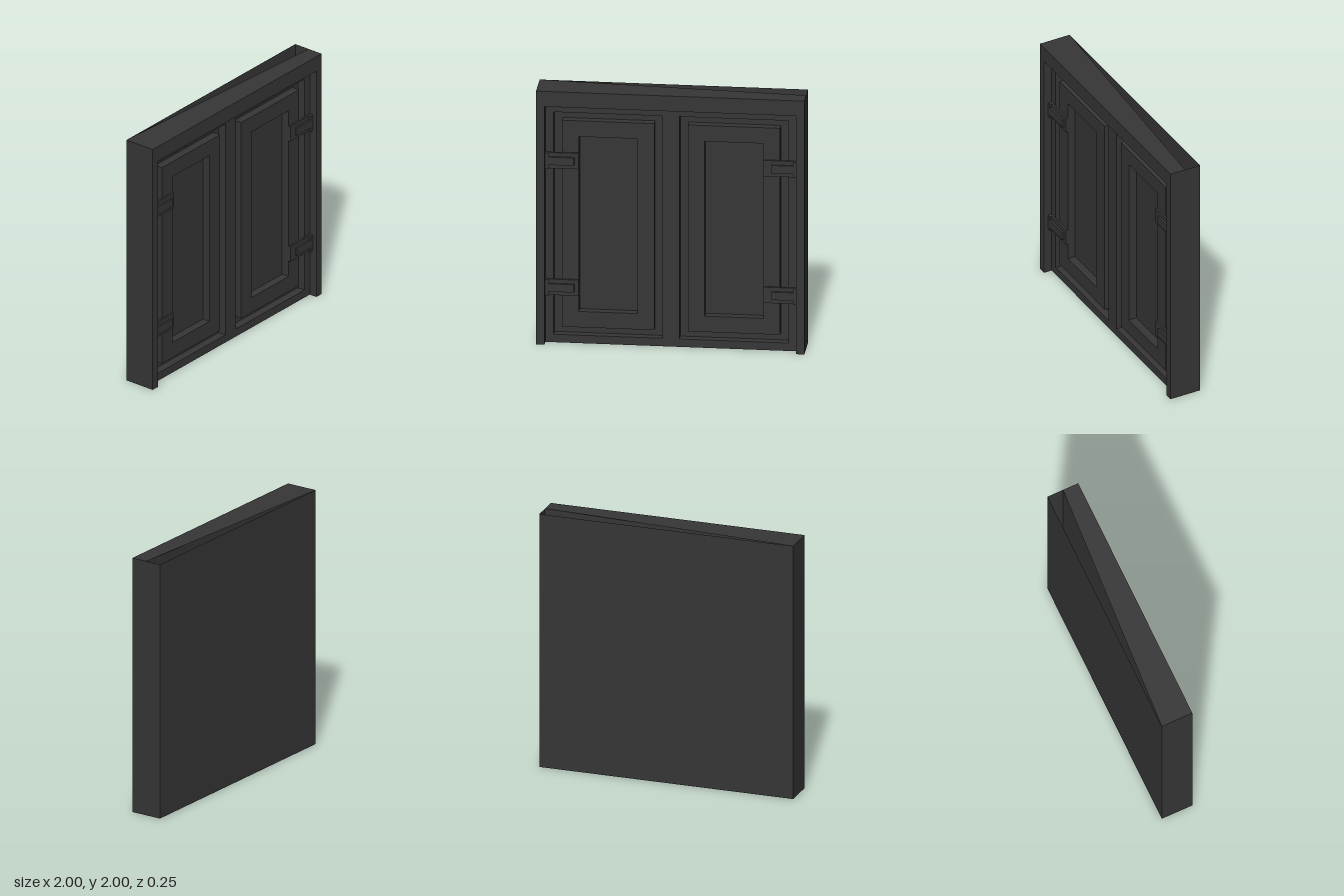
import * as THREE from 'three';

const charcoal = new THREE.MeshStandardMaterial({ color: 0x363636, side: THREE.DoubleSide });
charcoal.name = 'charcoal';

// Depth levels, from the back to the hinge faces
const BACK = -0.125, FLOOR = 0, PANEL = 0.0625, PLATE = 0.078, KNUCKLE = 0.094, FRONT = 0.125;

function add(parent, name, geometry) {
  const mesh = new THREE.Mesh(geometry, charcoal);
  mesh.name = name;
  parent.add(mesh);
  return mesh;
}

// Rectangle outline between two corners
function rect(Type, x0, y0, x1, y1) {
  return new Type([[x0, y0], [x1, y0], [x1, y1], [x0, y1]].map(p => new THREE.Vector2(...p)));
}

// Flat board with rectangular holes, from depth z0 to z1
function board(parent, name, shape, z0, z1, holes = []) {
  for (const h of holes) shape.holes.push(rect(THREE.Path, ...h));
  const g = new THREE.ExtrudeGeometry(shape, { depth: z1 - z0, bevelEnabled: false });
  return add(parent, name, g.translate(0, 0, z0));
}

// Solid block between two corners
function block(parent, name, x0, x1, y0, y1, z0, z1) {
  const g = new THREE.BoxGeometry(x1 - x0, y1 - y0, z1 - z0);
  return add(parent, name, g.translate((x0 + x1) / 2, (y0 + y1) / 2, (z0 + z1) / 2));
}

export function createModel() {
  const model = new THREE.Group();
  model.name = 'cabinetFront';

  // Hollow back casing, with a wedge left open at the top
  const casing = new THREE.Group();
  casing.name = 'backCasing';
  model.add(casing);
  const depth = FLOOR - BACK, mid = (FLOOR + BACK) / 2;
  add(casing, 'backWall', new THREE.PlaneGeometry(2, 2).rotateY(Math.PI).translate(0, 1, BACK));
  add(casing, 'innerWall', new THREE.PlaneGeometry(2, 2).translate(0, 1, FLOOR));
  add(casing, 'bottomWall', new THREE.PlaneGeometry(2, depth).rotateX(Math.PI / 2).translate(0, 0, mid));
  for (const s of [-1, 1]) {
    add(casing, s > 0 ? 'leftWall' : 'rightWall',
      new THREE.PlaneGeometry(depth, 2).rotateY(s * Math.PI / 2).translate(s, 1, mid));
  }
  const wedge = new THREE.Shape([[-1, 0], [1, 0], [-1, -BACK]].map(p => new THREE.Vector2(...p)));
  add(casing, 'topWall', new THREE.ShapeGeometry(wedge).rotateX(-Math.PI / 2).translate(0, 2, 0));

  // Main panel with one opening per door
  const openings = [[-0.875, 0.0625, -0.0625, 1.8175], [0.0625, 0.0625, 0.875, 1.8175]];
  board(model, 'mainPanel', rect(THREE.Shape, -1, 0, 1, 2), FLOOR, PANEL, openings);

  // Raised door frames around a sunken field
  for (const s of [-1, 1]) {
    const span = (a, b, y0, y1) => [Math.min(s * a, s * b), y0, Math.max(s * a, s * b), y1];
    board(model, s > 0 ? 'leftDoor' : 'rightDoor', rect(THREE.Shape, ...span(0.125, 0.8125, 0.125, 1.755)),
      FLOOR, PANEL, [span(0.25, 0.6875, 0.25, 1.63)]);
  }

  // Outer frame: two jambs and a header
  const frame = new THREE.Shape([[-1, 0], [-0.9375, 0], [-0.9375, 1.88], [0.9375, 1.88],
    [0.9375, 0], [1, 0], [1, 2], [-1, 2]].map(p => new THREE.Vector2(...p)));
  board(model, 'outerFrame', frame, PANEL, FRONT);

  // Strap hinges
  for (const s of [-1, 1]) {
    for (const y of [0.44, 1.44]) {
      const hinge = new THREE.Group();
      hinge.name = (y > 1 ? 'upper' : 'lower') + (s > 0 ? 'Left' : 'Right') + 'Hinge';
      model.add(hinge);
      const part = (name, a, b, half, z) =>
        block(hinge, name, Math.min(s * a, s * b), Math.max(s * a, s * b), y - half, y + half, PANEL, z);
      part('strap', 0.6875, 0.9375, 0.0625, PLATE);
      part('rib', s > 0 ? 0.75 : 0.72, 0.9375, 0.031, KNUCKLE);
      part('knuckle', 0.912, 0.9375, 0.0625, KNUCKLE);
    }
  }
  return model;
}
